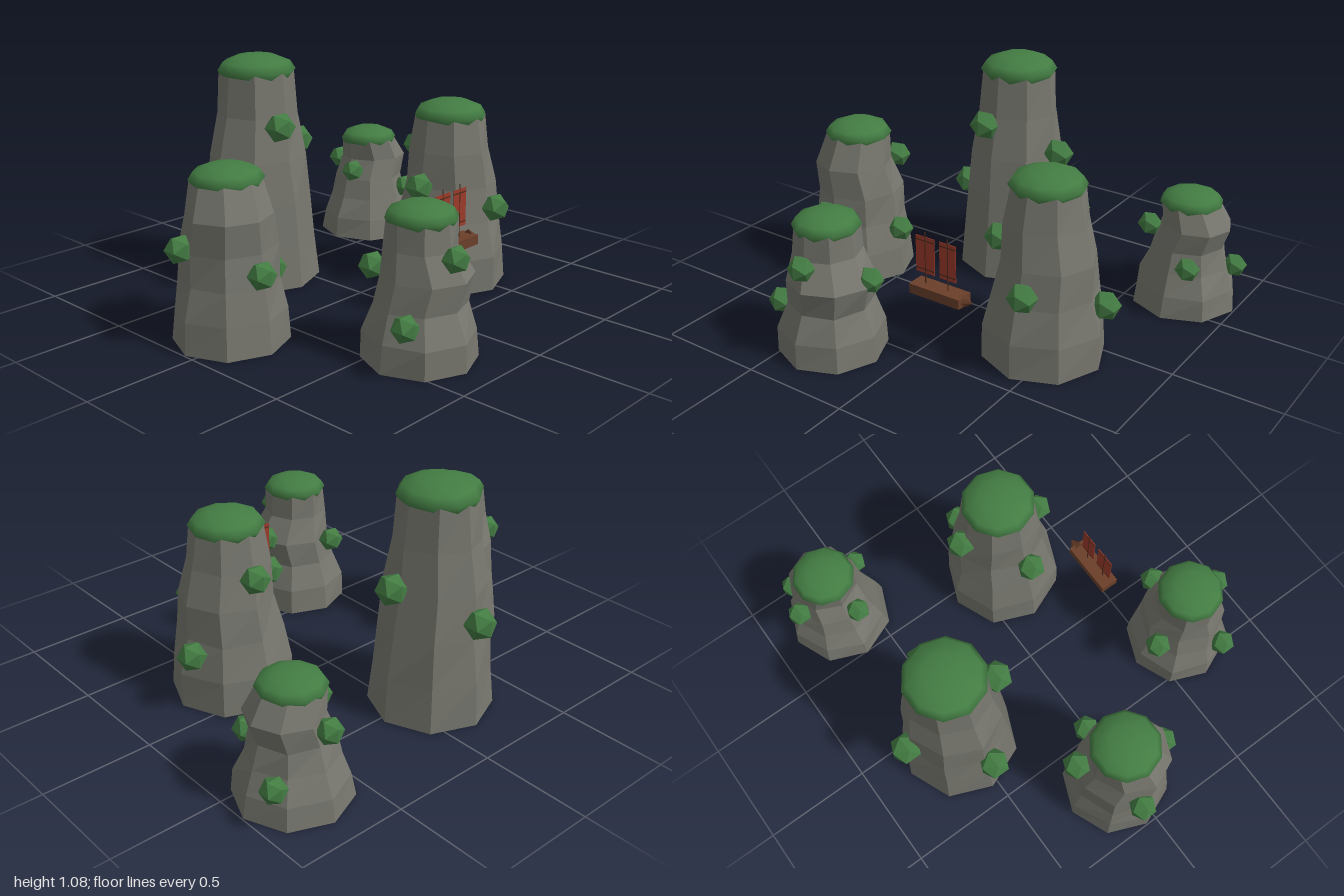
import * as THREE from 'three';

// Ring radii run evenly from base to top; one ring juts out by [ring, dx, dz];
// bushes are [height, degrees clockwise from the back]
const tallPillar = {
  x: -0.14, z: -0.53, h: 1.005, jut: [3, -0.01, 0],
  radii: [0.28, 0.262, 0.242, 0.225, 0.19, 0.172],
  bushes: [[0.49, -2], [0.37, 264], [0.63, 94], [0.77, 194]],
};
const leftPillar = {
  x: -0.745, z: -0.05, h: 0.703, jut: [4, -0.015, 0.025],
  radii: [0.25, 0.24, 0.213, 0.205, 0.185, 0.15],
  bushes: [[0.54, 24], [0.44, 283], [0.25, 90], [0.345, 186]],
};
const frontPillar = {
  x: -0.34, z: 0.645, h: 0.601, jut: [3, 0.025, 0.015],
  radii: [0.243, 0.235, 0.192, 0.195, 0.15, 0.143],
  bushes: [[0.36, -17], [0.21, 245], [0.38, 82], [0.46, 179]],
};
const rightPillar = {
  x: 0.447, z: 0.15, h: 0.805, jut: [3, 0.015, 0],
  radii: [0.277, 0.27, 0.237, 0.213, 0.186, 0.16],
  bushes: [[0.62, 3], [0.5, 267], [0.28, 75], [0.39, 171]],
};
const backPillar = {
  x: 0.745, z: -0.64, h: 0.505, jut: [4, 0.035, 0],
  radii: [0.25, 0.235, 0.195, 0.17, 0.165, 0.138],
  bushes: [[0.37, -11], [0.36, 254], [0.175, 58], [0.25, 155]],
};
const pillars = { tallPillar, leftPillar, frontPillar, rightPillar, backPillar };

const SIDES = 8;
const LEVELS = 5;

function material(name, color, options = {}) {
  const m = new THREE.MeshStandardMaterial({ color, ...options });
  m.name = name;
  return m;
}

function add(parent, name, geo, mat, x, y, z) {
  const mesh = new THREE.Mesh(geo, mat);
  mesh.name = name;
  mesh.position.set(x, y, z);
  parent.add(mesh);
  return mesh;
}

// Eight-sided column whose rings are resized, shifted and slightly roughened
function rockGeometry(p) {
  const geo = new THREE.CylinderGeometry(1, 1, p.h, SIDES, LEVELS);
  const pos = geo.attributes.position;
  const [jutRing, dx, dz] = p.jut;
  for (let i = 0; i < pos.count; i++) {
    const x = pos.getX(i), y = pos.getY(i) + p.h / 2, z = pos.getZ(i);
    const ring = Math.round(y / p.h * LEVELS);
    const side = (Math.round(Math.atan2(x, z) / (Math.PI * 2 / SIDES)) + SIDES) % SIDES;
    const rough = ring === 0 ? 1 : 1 + 0.025 * Math.sin(side * 2.7 + ring * 4.1 + p.x * 9);
    const r = p.radii[ring] * rough;
    const shift = ring === jutRing ? 1 : 0;
    pos.setXYZ(i, x * r + dx * shift, y, z * r + dz * shift);
  }
  const flat = geo.toNonIndexed();
  flat.computeVertexNormals();
  return flat;
}

// Column radius at a given height
function radiusAt(p, y) {
  const t = y / p.h * LEVELS;
  const k = Math.floor(t);
  return THREE.MathUtils.lerp(p.radii[k], p.radii[k + 1], t - k);
}

export function createModel() {
  const model = new THREE.Group();
  model.name = 'stonePillarsAndBoat';
  const rock = material('rock grey', 0x77776f, { flatShading: true });
  const green = material('foliage green', 0x437c43);
  const wood = material('hull brown', 0x6b3f2a);
  const dark = material('dark wood', 0x4a2a1a);
  const red = material('sail red', 0x9c3a2a);

  // Rock pillars with leafy caps and bushes around their sides
  for (const [name, p] of Object.entries(pillars)) {
    const group = new THREE.Group();
    group.name = name;
    group.position.set(p.x, 0, p.z);
    model.add(group);
    add(group, 'rock', rockGeometry(p), rock, 0, 0, 0);

    const capRadius = p.radii[LEVELS] * 1.055;
    const cap = add(group, 'leafyCap', new THREE.SphereGeometry(capRadius, 10, 6), green, 0, p.h, 0);
    cap.scale.y = 0.42;

    const bushGeo = new THREE.IcosahedronGeometry(capRadius * 0.4, 0);
    for (const [y, degrees] of p.bushes) {
      const a = THREE.MathUtils.degToRad(degrees);
      const d = radiusAt(p, y) * 1.1;
      add(group, 'bush', bushGeo, green, Math.sin(a) * d, y, -Math.cos(a) * d);
    }
  }

  // Boat hull with a pointed four-sided bow
  const boat = new THREE.Group();
  boat.name = 'boat';
  boat.position.z = 0.45;
  model.add(boat);
  add(boat, 'hull', new THREE.BoxGeometry(0.26, 0.045, 0.085), wood, 0.105, 0.32, 0);
  const bow = add(boat, 'bow', new THREE.ConeGeometry(0.043, 0.06, 4), wood, 0.247, 0.32, 0);
  bow.rotation.z = -Math.PI / 2;

  // Masts and battened sails
  for (const [x, width] of [[0.033, 0.098], [0.15, 0.085]]) {
    add(boat, 'mast', new THREE.CylinderGeometry(0.003, 0.003, 0.25, 6), dark, x, 0.46, 0);
    add(boat, 'sail', new THREE.BoxGeometry(width, 0.172, 0.003), red, x, 0.477, 0);
    for (const y of [0.41, 0.545]) {
      add(boat, 'batten', new THREE.BoxGeometry(width, 0.005, 0.006), dark, x, y, 0);
    }
  }
  return model;
}
